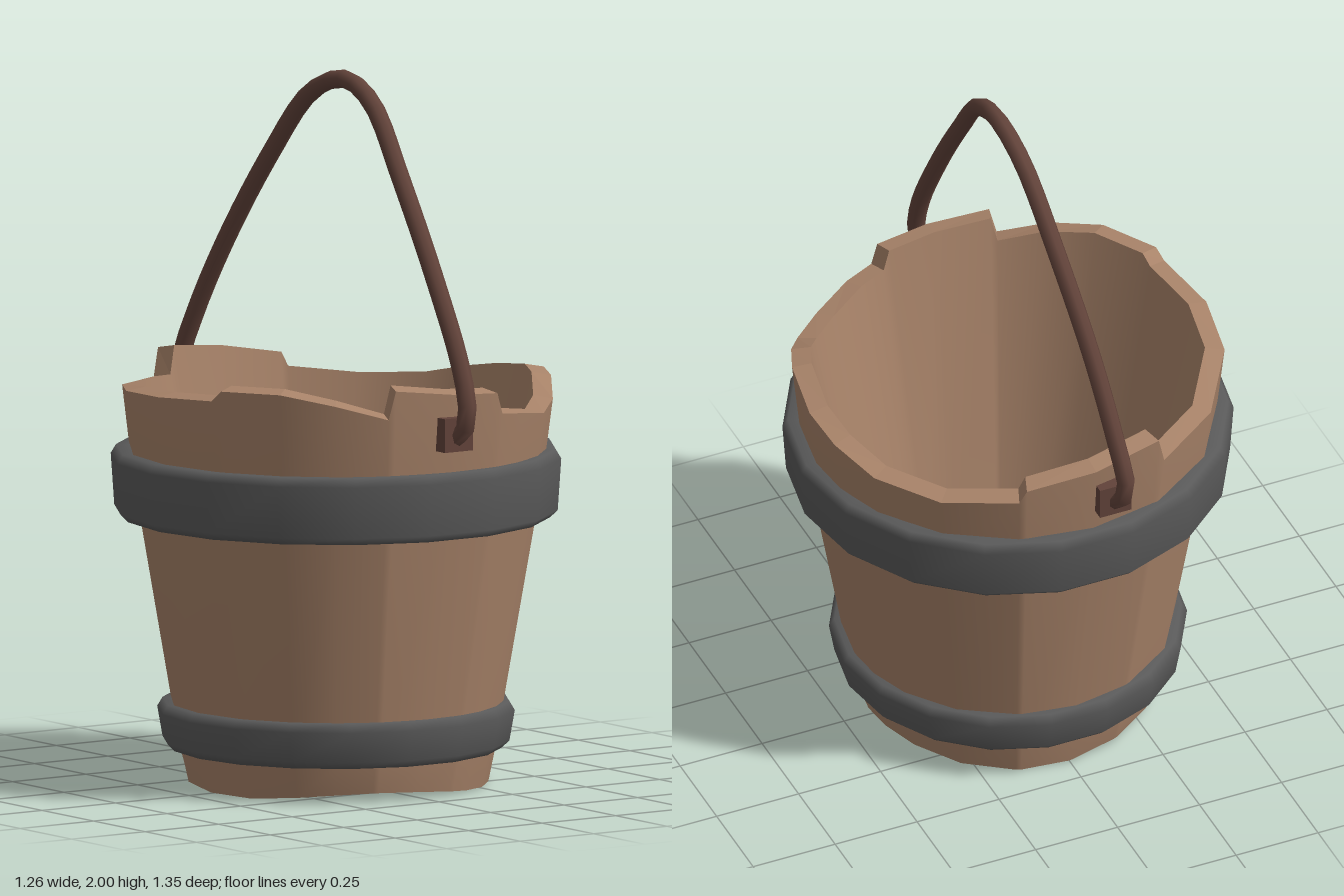
import * as THREE from 'three';

const wood = new THREE.MeshStandardMaterial({ color: 0xa88369 });
wood.name = 'wood';
const iron = new THREE.MeshStandardMaterial({ color: 0x5a5a5a });
iron.name = 'iron';
const darkWood = new THREE.MeshStandardMaterial({ color: 0x62433a });
darkWood.name = 'darkWood';

// Uneven rim: [degrees from +x towards the front, height]
const rim = [
  [0, 1.13], [18, 1.15], [27, 1.14], [38, 1.09], [52, 1.07], [66, 1.09], [75, 1.1], [77, 1.16],
  [92, 1.17], [109, 1.19], [111, 1.11], [125, 1.15], [140, 1.18], [157, 1.18], [160, 1.15],
  [180, 1.14], [200, 1.13], [225, 1.11], [248, 1.1], [250, 1.18], [270, 1.16], [289, 1.13],
  [291, 1.09], [312, 1.07], [332, 1.08], [347, 1.11],
];
const hoopAngles = Array.from({ length: 18 }, (_, i) => [i * 20, 0]);

// Skin closed rings; each ring maps (angle, rimHeight) to [radius, y]
function skin(stations, rings, flat = false) {
  const n = stations.length, pos = [], index = [];
  for (const ring of rings) {
    for (const [deg, h] of stations) {
      const a = THREE.MathUtils.degToRad(deg);
      const [r, y] = ring(a, h);
      pos.push(r * Math.cos(a), y, r * Math.sin(a));
    }
  }
  for (let k = 0; k < rings.length - 1; k++) {
    for (let i = 0; i < n; i++) {
      const j = (i + 1) % n;
      const a = k * n + i, b = a + n, c = k * n + j, d = c + n;
      index.push(a, b, c, b, d, c);
    }
  }
  let g = new THREE.BufferGeometry();
  g.setAttribute('position', new THREE.Float32BufferAttribute(pos, 3));
  g.setIndex(index);
  if (flat) g = g.toNonIndexed();
  g.computeVertexNormals();
  return g;
}

function add(parent, name, geometry, material) {
  const m = new THREE.Mesh(geometry, material);
  m.name = name;
  parent.add(m);
  return m;
}

export function createModel() {
  const root = new THREE.Group();
  root.name = 'bucket';

  // Wooden tub
  const tub = new THREE.Group();
  tub.name = 'tub';
  root.add(tub);
  const foot = (a) => [0.425, 0.012 + 0.012 * Math.cos(3 * a + 0.6)];
  const outerTop = (a, h) => [0.605, h - 0.01];
  const innerTop = (a, h) => [0.55, h];
  const floorEdge = () => [0.36, 0.15];
  add(tub, 'outerWall', skin(rim, [foot, () => [0.445, 0.1], () => [0.575, 0.85], outerTop]), wood);
  add(tub, 'rimTop', skin(rim, [outerTop, innerTop], true), wood);
  add(tub, 'innerWall', skin(rim, [innerTop, floorEdge]), wood);
  add(tub, 'floor', skin(rim, [floorEdge, () => [0, 0.15]], true), wood);
  add(tub, 'underside', skin(rim, [() => [0, 0.035], () => [0.34, 0.035], foot], true), wood);

  // Iron hoops: bottom y, top y, bottom radius, top radius
  const hoops = [
    ['lowerHoop', 0.1, 0.23, 0.475, 0.5],
    ['upperHoop', 0.75, 0.94, 0.61, 0.63],
  ];
  for (const [name, y0, y1, r0, r1] of hoops) {
    const profile = [
      [r0 - 0.06, y0 + 0.005], [r0 - 0.01, y0], [r0 + 0.01, y0 + 0.02],
      [r1, y1 - 0.025], [r1 - 0.015, y1], [r1 - 0.07, y1 - 0.002],
    ];
    add(root, name, skin(hoopAngles, profile.map((p) => () => p)), iron);
  }

  // Bent carrying handle with hooked ends
  const path = new THREE.CatmullRomCurve3([
    [-0.02, 1.03, 0.6], [-0.015, 1.05, 0.635], [-0.01, 1.11, 0.652], [-0.005, 1.23, 0.615],
    [0, 1.46, 0.485], [0.01, 1.73, 0.3], [0.025, 1.92, 0.14], [0.03, 1.973, 0],
    [0.02, 1.92, -0.15], [-0.005, 1.73, -0.31], [-0.04, 1.46, -0.485], [-0.06, 1.23, -0.61],
    [-0.07, 1.11, -0.652], [-0.06, 1.05, -0.635], [-0.05, 1.03, -0.6],
  ].map((p) => new THREE.Vector3(...p)));
  add(root, 'handle', new THREE.TubeGeometry(path, 40, 0.026, 8), darkWood);

  // Square mounts holding the handle ends
  for (const [name, x, z] of [['frontMount', -0.02, 0.6], ['backMount', -0.05, -0.6]]) {
    const mount = add(root, name, new THREE.BoxGeometry(0.095, 0.095, 0.05), darkWood);
    mount.position.set(x, 1.05, z);
  }
  return root;
}
